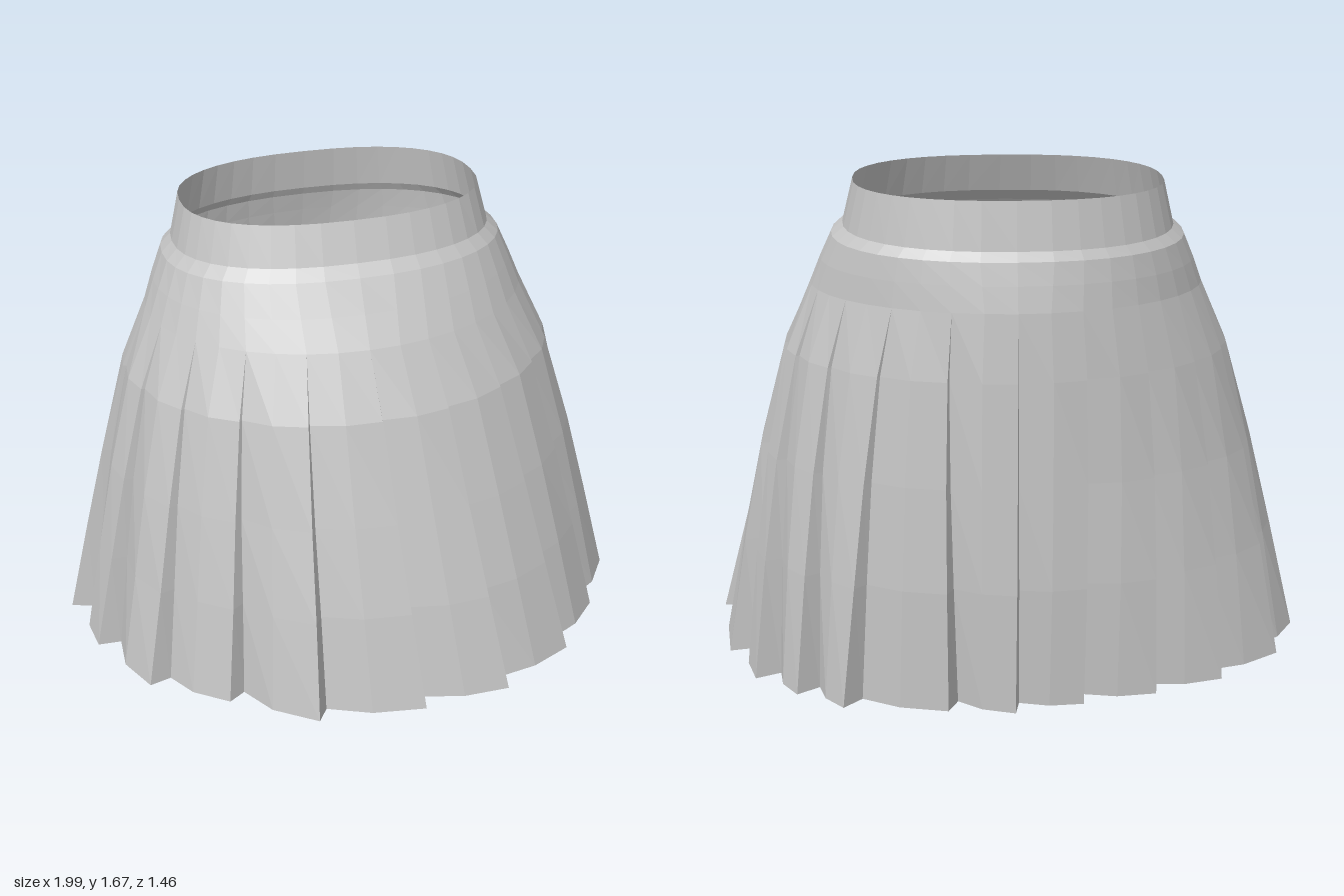
import * as THREE from 'three';

// Skirt cross-sections: [y front, y back, half width, z front, z back, corner roundness, pleat opening]
const BAND = [
  [1.675, 1.6, 0.495, 0.1, -0.605, 0.84, 0],
  [1.55, 1.45, 0.53, 0.15, -0.625, 0.86, 0],
];
const LEDGE = [BAND[1], [1.515, 1.42, 0.567, 0.185, -0.64, 0.88, 0]];
const YOKE = [LEDGE[1], [1.42, 1.35, 0.605, 0.25, -0.655, 0.94, 0], [1.33, 1.27, 0.64, 0.315, -0.67, 1, 0]];
const PLEATED = [
  YOKE[2],
  [1.13, 1.06, 0.73, 0.425, -0.69, 1, 0.2],
  [0.8, 0.73, 0.825, 0.54, -0.715, 1, 0.47],
  [0.5, 0.4, 0.905, 0.64, -0.735, 1, 0.72],
  [0.155, 0.01, 1, 0.73, -0.735, 1, 1],
];

// Outer fold of each pleat at the hem (x, z), from the front round by the left side
const FOLDS = [
  [0.1, 0.73], [0.4, 0.7], [0.67, 0.54], [0.85, 0.31], [0.99, 0.06],
  [0.94, -0.28], [0.84, -0.47], [0.7, -0.58], [0.55, -0.67], [0.22, -0.71],
  [0.01, -0.735], [-0.21, -0.69], [-0.45, -0.64], [-0.68, -0.56], [-0.9, -0.4],
  [-1, -0.19], [-0.93, 0.08], [-0.78, 0.36], [-0.53, 0.52], [-0.26, 0.7],
];
const COUNT = FOLDS.length;
const STEP = (Math.PI * 2) / COUNT;
const lerp = THREE.MathUtils.lerp;

// Each fold's turn from its even spacing, and its reach from the centre
const folds = FOLDS.map(([x, z], i) => {
  const turn = Math.atan2(x, z / 0.733) - i * STEP;
  return {
    turn: Math.atan2(Math.sin(turn), Math.cos(turn)),
    reach: Math.hypot(x, z / 0.733),
  };
});

// Point on a cross-section at an angle (0 = front, growing toward +x)
function ringPoint([yF, yB, rx, zF, zB, power], angle, reach) {
  const bulge = (v) => Math.sign(v) * Math.abs(v) ** power;
  const s = bulge(Math.sin(angle)) * reach;
  const c = bulge(Math.cos(angle)) * reach;
  return [s * rx, lerp(yB, yF, (c + 1) / 2), lerp(zB, zF, (c + 1) / 2)];
}

// Plain ring for the waist
function smoothRing(row) {
  return Array.from({ length: COUNT * 2 }, (_, i) => ringPoint(row, (i * STEP) / 2, 1));
}

// Sawtooth ring: outer fold, tucked inner fold, middle of the next panel
function pleatRing(row) {
  const open = row[6];
  const points = [];
  for (let i = 0; i < COUNT; i++) {
    const next = folds[(i + 1) % COUNT];
    const angle = i * STEP + folds[i].turn * open;
    const nextAngle = (i + 1) * STEP + next.turn * open;
    const reach = lerp(1, folds[i].reach, open);
    const nextReach = lerp(1, next.reach, open);
    const inner = reach * (1 - 0.085 * open);
    points.push(
      ringPoint(row, angle, reach),
      ringPoint(row, angle + 0.015 * open, inner),
      ringPoint(row, (angle + nextAngle) / 2, (inner + nextReach) / 2 + 0.012),
    );
    if (open === 0) points[points.length - 1] = ringPoint(row, (i + 0.5) * STEP, 1);
  }
  return points;
}

// Skin a stack of closed rings, listed from top to bottom
function loft(name, rings, material) {
  const n = rings[0].length;
  const index = [];
  for (let j = 0; j < rings.length - 1; j++) {
    for (let i = 0; i < n; i++) {
      const k = (i + 1) % n;
      const a = j * n + i, b = a + n, c = (j + 1) * n + k, d = j * n + k;
      index.push(a, b, c, a, c, d);
    }
  }
  const geometry = new THREE.BufferGeometry();
  geometry.setAttribute('position', new THREE.Float32BufferAttribute(rings.flat(2), 3));
  geometry.setIndex(index);
  geometry.computeVertexNormals();
  const mesh = new THREE.Mesh(geometry, material);
  mesh.name = name;
  return mesh;
}

export function createModel() {
  const cloth = new THREE.MeshStandardMaterial({ color: 0xc4c4c4, flatShading: true, side: THREE.DoubleSide });
  cloth.name = 'grey cloth';

  const skirt = new THREE.Group();
  skirt.name = 'pleatedSkirt';
  skirt.add(
    loft('waistband', BAND.map(smoothRing), cloth),
    loft('waistbandLedge', LEDGE.map(smoothRing), cloth),
    loft('hipYoke', YOKE.map(smoothRing), cloth),
    loft('pleats', PLEATED.map(pleatRing), cloth),
  );
  return skirt;
}
